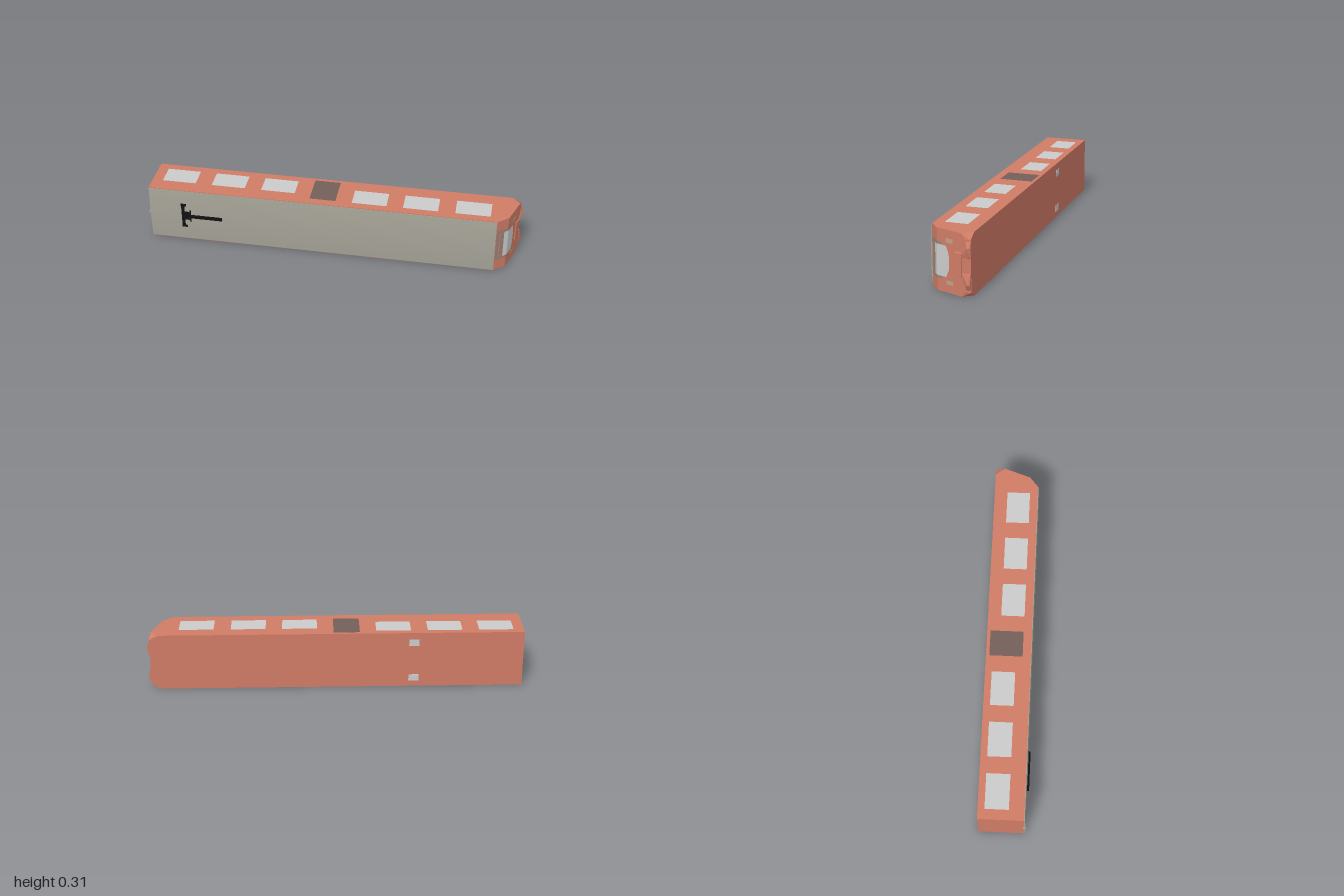
import * as THREE from 'three';
import { ConvexGeometry } from 'three/addons/geometries/ConvexGeometry.js';

const H = 0.312, MID = H / 2, BACK = -0.128, FRONT = 0.109, END = -0.993, CAB = 0.872;
const mat = (color) => new THREE.MeshStandardMaterial({ color, flatShading: true });
const red = mat(0xd07c66), grey = mat(0xcccccc), roofGrey = mat(0xa6a498);
const black = mat(0x101010), doorMat = mat(0x75605a), lampMat = mat(0xc0a088), bandMat = mat(0x9a8478);

export function createModel() {
  const group = new THREE.Group();
  const add = (name, geometry, material) => {
    const mesh = new THREE.Mesh(geometry, material);
    mesh.name = name;
    group.add(mesh);
    return mesh;
  };
  // box given by its minimum and maximum corners
  const box = (name, material, x0, x1, y0, y1, z0, z1) =>
    add(name, new THREE.BoxGeometry(x1 - x0, y1 - y0, z1 - z0), material)
      .position.set((x0 + x1) / 2, (y0 + y1) / 2, (z0 + z1) / 2);

  // carriage core, leaving room for the two window walls
  const skin = 0.007;
  box('carriageBody', red, END, CAB, skin, H - skin, BACK, FRONT);

  // walls with window openings
  const windows = [];
  for (const x of [-0.94, -0.668, -0.395]) windows.push([x, x + 0.185, -0.093, 0.03]);
  for (const x of [0.103, 0.375, 0.65]) windows.push([x, x + 0.185, -0.058, 0.066]);
  const rect = (path, x0, x1, z0, z1) => {
    path.moveTo(x0, -z0);
    path.lineTo(x1, -z0);
    path.lineTo(x1, -z1);
    path.lineTo(x0, -z1);
    path.closePath();
    return path;
  };
  const wall = rect(new THREE.Shape(), END, CAB, BACK, FRONT);
  for (const w of windows) wall.holes.push(rect(new THREE.Path(), ...w));
  const wallGeo = new THREE.ExtrudeGeometry(wall, { depth: skin, bevelEnabled: false });
  wallGeo.rotateX(-Math.PI / 2);
  for (const side of [0, 1]) {
    add('sideWall', wallGeo, red).position.y = side * (H - skin);
    const pane = side ? H - skin : skin - 0.002;
    for (const [x0, x1, z0, z1] of windows) box('window', grey, x0, x1, pane, pane + 0.002, z0, z1);
    const door = side ? H - 0.001 : -0.0005;
    box('door', doorMat, -0.123, 0.016, door, door + 0.0015, -0.11, 0.065);
  }

  // shallow arched roof
  const roof = new THREE.Shape();
  roof.moveTo(-0.105, 0.004);
  roof.lineTo(-0.105, H - 0.004);
  roof.lineTo(-0.112, H - 0.004);
  for (let i = 1; i <= 8; i++) {
    const t = 1 - i / 4;
    roof.lineTo(-0.118 + 0.006 * t * t, MID + t * (MID - 0.004));
  }
  roof.closePath();
  const roofGeo = new THREE.ExtrudeGeometry(roof, { depth: CAB - END, bevelEnabled: false });
  roofGeo.rotateY(Math.PI / 2);
  add('roof', roofGeo, roofGrey).position.x = END;

  // cab nose with its lower corners cut off
  const hull = [];
  for (const s of [-1, 1]) {
    for (const [x, z, half] of [
      [CAB, 0.111, MID], [CAB, BACK, MID], [0.93, 0.0625, MID], [0.978, -0.078, MID],
      [0.94, BACK, MID], [0.985, -0.1, 0.13], [0.985, BACK, 0.13],
    ]) hull.push(new THREE.Vector3(x, MID + s * half, z));
  }
  add('cabNose', new ConvexGeometry(hull), red);

  // patch lying on the sloping nose; rows of [z, halfWidth] run from roof to floor
  const noseX = (z) => z > 0.0625
    ? THREE.MathUtils.mapLinear(z, 0.111, 0.0625, CAB, 0.93)
    : THREE.MathUtils.mapLinear(z, 0.0625, -0.078, 0.93, 0.978);
  const patch = (name, material, rows, lift, yc = MID) => {
    const pos = [], index = [];
    rows.forEach(([z, half], i) => {
      const x = noseX(z) + lift;
      pos.push(x, yc - half, z, x, yc + half, z);
      if (i) {
        const a = 2 * i - 2;
        index.push(a, a + 2, a + 1, a + 1, a + 2, a + 3);
      }
    });
    const g = new THREE.BufferGeometry();
    g.setAttribute('position', new THREE.Float32BufferAttribute(pos, 3));
    g.setIndex(index);
    g.computeVertexNormals();
    const m = material.clone();
    m.side = THREE.DoubleSide;
    add(name, g, m);
  };
  patch('windshieldSurround', bandMat, [[0.11, 0.093], [0.0625, 0.093], [0.035, 0.093]], 0.001);
  patch('windshield', grey, [[0.08, 0.078], [0.0625, 0.078], [0.011, 0.078], [-0.006, 0.04]], 0.003);
  patch('ventSlit', red, [[0.1, 0.078], [0.094, 0.078]], 0.003);
  for (const s of [-1, 1]) patch('headlight', lampMat, [[0.011, 0.011], [-0.028, 0.011]], 0.0015, MID + s * 0.104);

  // coupler cover and plough wings
  const cover = [];
  for (const s of [-1, 1]) {
    for (const [z, half] of [[-0.041, 0.065], [-0.08, 0.065]]) {
      cover.push(new THREE.Vector3(noseX(z) - 0.01, MID + s * half, z));
      cover.push(new THREE.Vector3(noseX(z) + 0.005, MID + s * (half - 0.008), z));
    }
    const wing = [
      [0.972, 0.04, -0.08], [0.982, 0.04, -0.08], [0.98, 0.13, -0.1], [0.98, 0.13, -0.126],
      [0.98, 0.03, -0.126], [0.99, 0.04, -0.126], [1, 0.09, -0.11], [0.996, 0.09, -0.126],
    ].map(([x, y, z]) => new THREE.Vector3(x, MID + s * y, z));
    add('ploughWing', new ConvexGeometry(wing), red);
  }
  add('couplerCover', new ConvexGeometry(cover), red);

  // roof current collector
  box('collectorArm', black, -0.8, -0.593, MID - 0.008, MID + 0.008, 0.114, 0.128);
  box('collectorBase', black, -0.818, -0.775, MID - 0.026, MID + 0.026, 0.112, 0.1185);
  box('collectorHead', black, -0.818, -0.8, MID - 0.073, MID + 0.073, 0.112, 0.1185);
  box('collectorRung', black, -0.773, -0.766, MID - 0.038, MID + 0.038, 0.112, 0.1185);
  for (const s of [-1, 1]) {
    const y = MID + s * 0.068;
    box('collectorHorn', black, -0.82, -0.79, y - 0.007, y + 0.007, 0.112, 0.1185);
  }

  // rear nub and underside hatches
  box('rearNub', roofGrey, -1, END, MID - 0.008, MID + 0.008, 0.104, 0.117);
  for (const y of [0.05, 0.256]) box('floorHatch', grey, -0.437, -0.383, y - 0.019, y + 0.019, BACK - 0.001, BACK + 0.002);

  return group;
}
